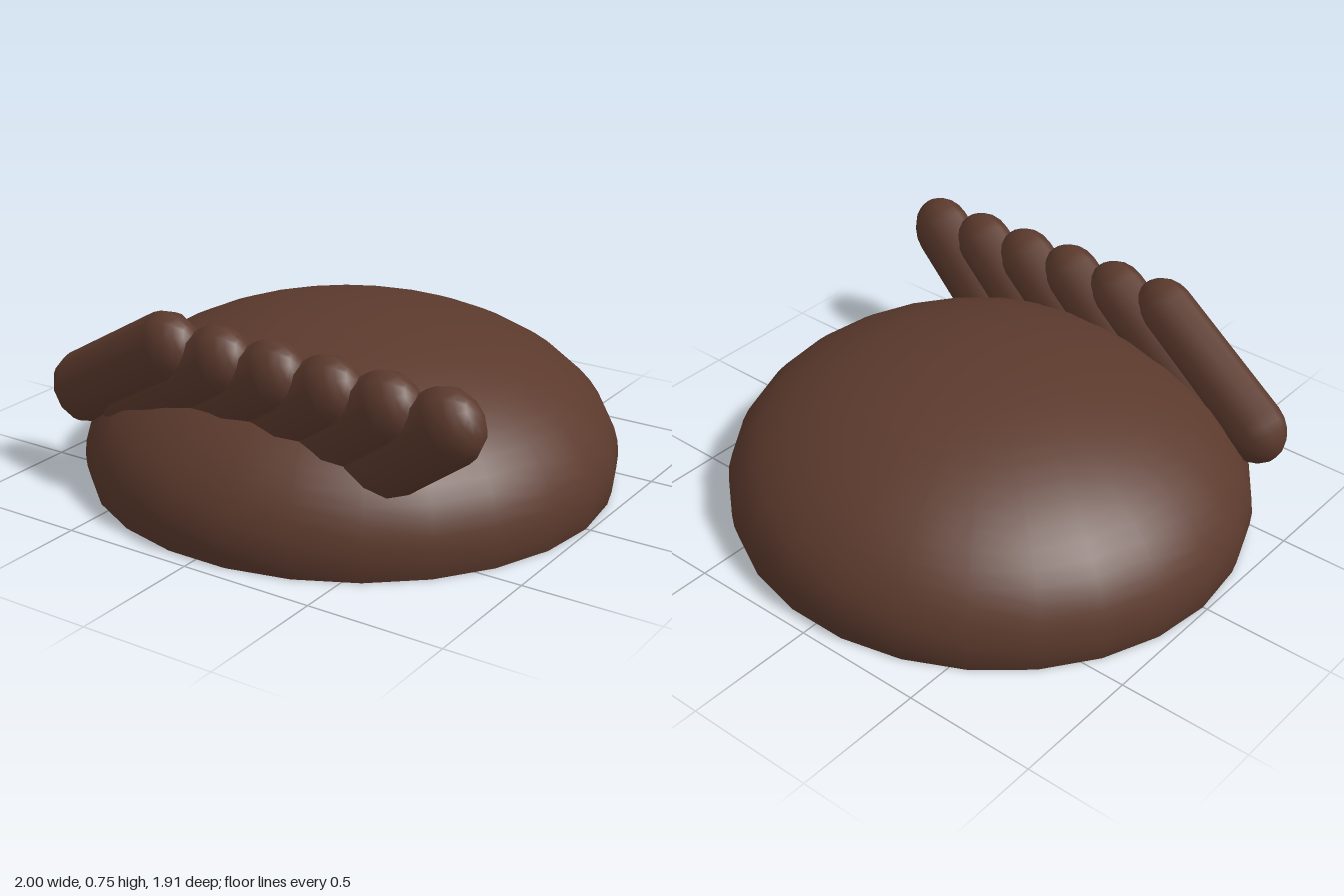
import * as THREE from 'three';

export function createModel() {
  const model = new THREE.Group();
  const material = new THREE.MeshStandardMaterial({ color: 0x5c3a2d, side: THREE.DoubleSide });

  // Hair cap: squashed sphere, open at the bottom
  const cap = new THREE.Mesh(
    new THREE.SphereGeometry(1, 26, 18, 0, Math.PI * 2, 0, Math.PI * 0.56), material);
  cap.name = 'hairCap';
  cap.scale.set(1, 0.535, 0.96);
  cap.position.y = 0.1;
  model.add(cap);

  // Fringe: six overlapping slanted locks, flattened front to back
  const fringe = new THREE.Group();
  fringe.name = 'fringe';
  const count = 6, radius = 0.135;
  for (let i = 0; i < count; i++) {
    const t = i / (count - 1);
    const upper = new THREE.Vector3(-0.29 + 1.11 * t, 0.62 - 0.04 * t, 0.685);
    const lower = new THREE.Vector3(-0.77 + 1.13 * t, 0.35 - 0.11 * t, 0.6);
    const along = upper.clone().sub(lower);
    const length = along.length();
    along.normalize();
    const side = new THREE.Vector3(along.y, -along.x, 0).normalize();
    const depth = new THREE.Vector3().crossVectors(side, along);

    const lock = new THREE.Mesh(new THREE.CapsuleGeometry(radius, length, 5, 10), material);
    lock.name = 'fringeLock' + (i + 1);
    lock.quaternion.setFromRotationMatrix(new THREE.Matrix4().makeBasis(side, along, depth));
    lock.position.copy(upper).add(lower).multiplyScalar(0.5);
    lock.scale.z = 0.72;
    fringe.add(lock);
  }
  model.add(fringe);
  return model;
}
